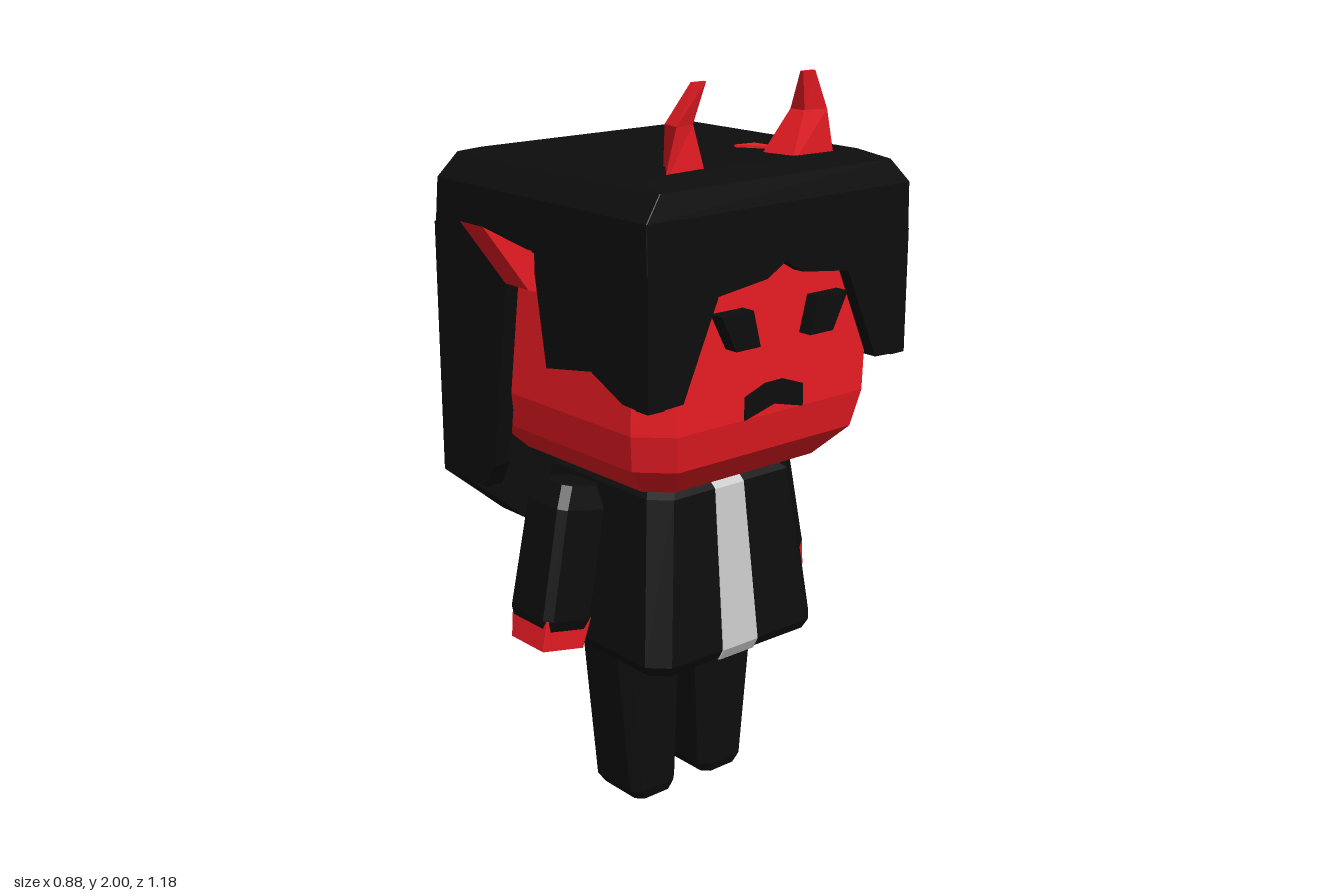
import * as THREE from 'three';

const material = (color) => new THREE.MeshStandardMaterial({ color, flatShading: true });

// Rectangle with cut corners, counter-clockwise seen from above
function ring(y, x0, x1, z0, z1, cut = 0.002) {
  const c = cut;
  return { y, points: [[x1, z1 - c], [x1, z0 + c], [x1 - c, z0], [x0 + c, z0],
    [x0, z0 + c], [x0, z1 - c], [x0 + c, z1], [x1 - c, z1]] };
}

// Closed solid through horizontal rings, listed from bottom to top
function loft(rings) {
  const n = rings[0].points.length;
  const out = [];
  const put = (r, i) => {
    const [x, z] = rings[r].points[i % n];
    out.push(x, rings[r].y, z);
  };
  for (let r = 0; r < rings.length - 1; r++) {
    for (let i = 0; i < n; i++) {
      put(r, i); put(r, i + 1); put(r + 1, i + 1);
      put(r, i); put(r + 1, i + 1); put(r + 1, i);
    }
  }
  const top = rings.length - 1;
  for (let i = 1; i < n - 1; i++) {
    put(top, 0); put(top, i); put(top, i + 1);
    put(0, 0); put(0, i + 1); put(0, i);
  }
  const g = new THREE.BufferGeometry();
  g.setAttribute('position', new THREE.Float32BufferAttribute(out, 3));
  g.computeVertexNormals();
  return g;
}

const extrude = (points, depth) => new THREE.ExtrudeGeometry(
  new THREE.Shape(points.map(([x, y]) => new THREE.Vector2(x, y))), { depth, bevelEnabled: false });

// Outline given as [z, y], extruded along x from x0 to x1
const extrudeX = (points, x0, x1) =>
  extrude(points.map(([z, y]) => [-z, y]), x1 - x0).rotateY(Math.PI / 2).translate(x0, 0, 0);

const mirrored = (half) => [...half, ...half.filter(([z]) => z !== 0).reverse().map(([z, y]) => [-z, y])];

export function createModel() {
  const model = new THREE.Group();
  const red = material(0xed1c24);
  const black = material(0x0d0d0d);
  const grey = material(0xcccccc);
  const add = (name, geometry, mat, parent = model) => {
    const mesh = new THREE.Mesh(geometry, mat);
    mesh.name = name;
    parent.add(mesh);
    return mesh;
  };

  // Head with a bevelled jaw
  add('head', loft([[0.965, 0.22, 0.03], [0.985, 0.3, 0.06], [1.07, 0.38, 0.08], [1.17, 0.4, 0.08], [1.65, 0.4, 0.06]]
    .map(([y, h, c]) => ring(y, -h, h, -h, h, c))), red);

  // Mouth
  add('mouth', extrudeX([[0.1, 1.17], [0.1, 1.23], [0.03, 1.255], [-0.03, 1.255],
    [-0.1, 1.23], [-0.1, 1.17], [0, 1.195]], 0.38, 0.404), black);

  // Hair: cap, fringe, back and side panels
  const hair = new THREE.Group();
  hair.name = 'hair';
  model.add(hair);
  add('hairCap', loft([
    ring(1.58, -0.437, 0.435, -0.44, 0.44),
    ring(1.71, -0.42, 0.432, -0.44, 0.44),
    ring(1.772, -0.405, 0.415, -0.385, 0.385),
    ring(1.79, -0.33, 0.32, -0.36, 0.36),
  ]), black, hair);
  add('fringe', extrudeX([[-0.44, 1.59], [-0.44, 1.26], [-0.33, 1.265], [-0.22, 1.51], [-0.06, 1.53], [0, 1.565],
    [0.06, 1.53], [0.22, 1.51], [0.33, 1.265], [0.44, 1.26], [0.44, 1.59]], 0.39, 0.435), black, hair);
  add('backHair', extrudeX(mirrored([[0.44, 1.59], [0.44, 0.9], [0.25, 0.74]]), -0.44, -0.32), black, hair);
  const sidePanel = [[-0.44, 0.9], [-0.24, 0.9], [-0.2, 0.97], [-0.11, 1.58], [-0.01, 1.58], [0.04, 1.29],
    [0.22, 1.32], [0.34, 1.265], [0.435, 1.26], [0.435, 1.59], [-0.437, 1.59]];

  // Coat with a pale front strip
  add('coat', loft([[0.47, 0.28, 0.04], [0.5, 0.297, 0.05], [0.94, 0.25, 0.05], [0.975, 0.21, 0.05]]
    .map(([y, h, c]) => ring(y, -h, h, -h, h, c))), black);
  add('shirtStrip', loft([
    ring(0.467, 0.22, 0.284, -0.055, 0.07),
    ring(0.5, 0.22, 0.301, -0.055, 0.07),
    ring(0.94, 0.18, 0.254, -0.04, 0.06),
    ring(0.97, 0.15, 0.22, -0.04, 0.06),
  ]), grey);

  for (const s of [1, -1]) {
    const side = s > 0 ? 'left' : 'right';
    const flip = (points) => points.map(([z, y]) => [s * z, y]);

    add(`${side}SideHair`, extrude(sidePanel, 0.05).translate(0, 0, s > 0 ? 0.39 : -0.44), black, hair);
    add(`${side}Eye`, extrudeX(flip([[0.215, 1.46], [0.11, 1.46], [0.085, 1.365], [0.165, 1.365]]), 0.38, 0.44), black);
    add(`${side}Ear`, extrudeX(flip([[0.38, 1.55], [0.44, 1.575], [0.59, 1.66], [0.46, 1.485], [0.38, 1.46]]),
      -0.097, 0), red);

    // Horn bends outward, then back in to a flat tip
    const hornRings = [
      [1.76, [[0.31, 0.287], [0.3, 0.14], [0.195, 0.12], [0.195, 0.19]]],
      [1.9, [[0.315, 0.25], [0.3, 0.185], [0.25, 0.185], [0.255, 0.235]]],
      [2.0, [[0.32, 0.2], [0.318, 0.16], [0.308, 0.16], [0.308, 0.2]]],
    ].map(([y, p]) => ({ y, points: s > 0 ? p : p.map(([x, z]) => [x, -z]).reverse() }));
    add(`${side}Horn`, loft(hornRings), red);

    // Sleeve and hand, swung outward from the shoulder
    const arm = new THREE.Group();
    arm.name = `${side}Arm`;
    arm.position.set(-0.025, 0.95, s * 0.322);
    arm.rotation.x = -s * 0.195;
    model.add(arm);
    add('sleeve', loft([
      ring(-0.39, -0.08, 0.075, -0.07, 0.07, 0.015),
      ring(-0.36, -0.092, 0.086, -0.08, 0.08, 0.02),
      ring(-0.06, -0.085, 0.08, -0.08, 0.08, 0.02),
      ring(0, -0.06, 0.06, -0.06, 0.06, 0.02),
    ]), black, arm);
    add('hand', loft([
      ring(-0.445, -0.07, 0.07, -0.068, 0.068),
      ring(-0.36, -0.077, 0.077, -0.074, 0.074),
    ]), red, arm);

    // Leg narrows towards the foot
    const zr = (a, b) => (s > 0 ? [a, b] : [-b, -a]);
    add(`${side}Leg`, loft([
      ring(0, -0.085, 0.085, ...zr(0.06, 0.185), 0.02),
      ring(0.03, -0.1, 0.095, ...zr(0.045, 0.205), 0.025),
      ring(0.46, -0.1, 0.095, ...zr(0.025, 0.248), 0.025),
      ring(0.49, -0.085, 0.085, ...zr(0.04, 0.23), 0.02),
    ]), black);
  }

  // Small spur lying on the cap beside the right horn
  add('hornSpur', loft([
    { y: 1.78, points: [[0.2, -0.19], [0.2, -0.2], [0.11, -0.195], [0.1, -0.13]] },
    { y: 1.797, points: [[0.2, -0.192], [0.2, -0.2], [0.112, -0.193], [0.102, -0.132]] },
  ]), red);

  return model;
}
